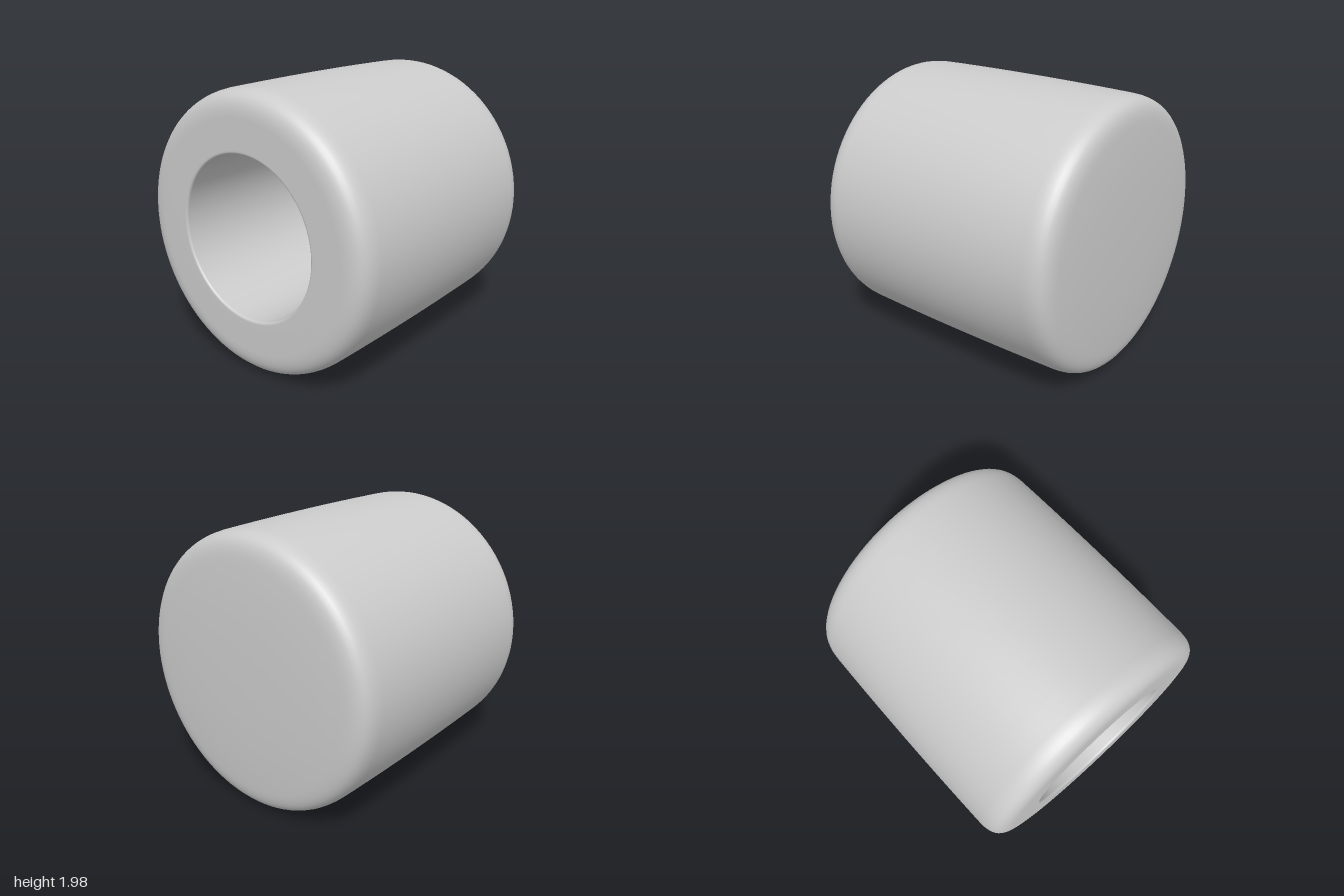
import * as THREE from 'three';

const material = new THREE.MeshStandardMaterial({ color: 0xcccccc, side: THREE.DoubleSide });

// Revolve a path (x = radius, y = depth) around the z axis
function revolve(name, path) {
  const geometry = new THREE.LatheGeometry(path.getPoints(10), 96);
  geometry.rotateX(Math.PI / 2);
  const mesh = new THREE.Mesh(geometry, material);
  mesh.name = name;
  mesh.position.y = 1;
  return mesh;
}

export function createModel() {
  const group = new THREE.Group();
  group.name = 'cup';

  // Outer shell: slightly domed back, faintly bulged side, rounded shoulders
  const shell = new THREE.Path();
  shell.moveTo(0, -1);
  shell.quadraticCurveTo(0.5, -1, 0.78, -0.976);
  shell.bezierCurveTo(0.92, -0.968, 0.975, -0.94, 0.98, -0.8);
  shell.quadraticCurveTo(1.0, 0, 0.983, 0.83);
  shell.bezierCurveTo(0.978, 0.95, 0.93, 1, 0.8, 1);
  shell.lineTo(0.59, 1);
  group.add(revolve('outerShell', shell));

  // Bore: softened lip, straight wall, filleted floor
  const bore = new THREE.Path();
  bore.moveTo(0.59, 1);
  bore.quadraticCurveTo(0.57, 1, 0.57, 0.98);
  bore.lineTo(0.565, -0.45);
  bore.bezierCurveTo(0.56, -0.54, 0.53, -0.58, 0.43, -0.59);
  bore.lineTo(0, -0.6);
  group.add(revolve('bore', bore));

  return group;
}
